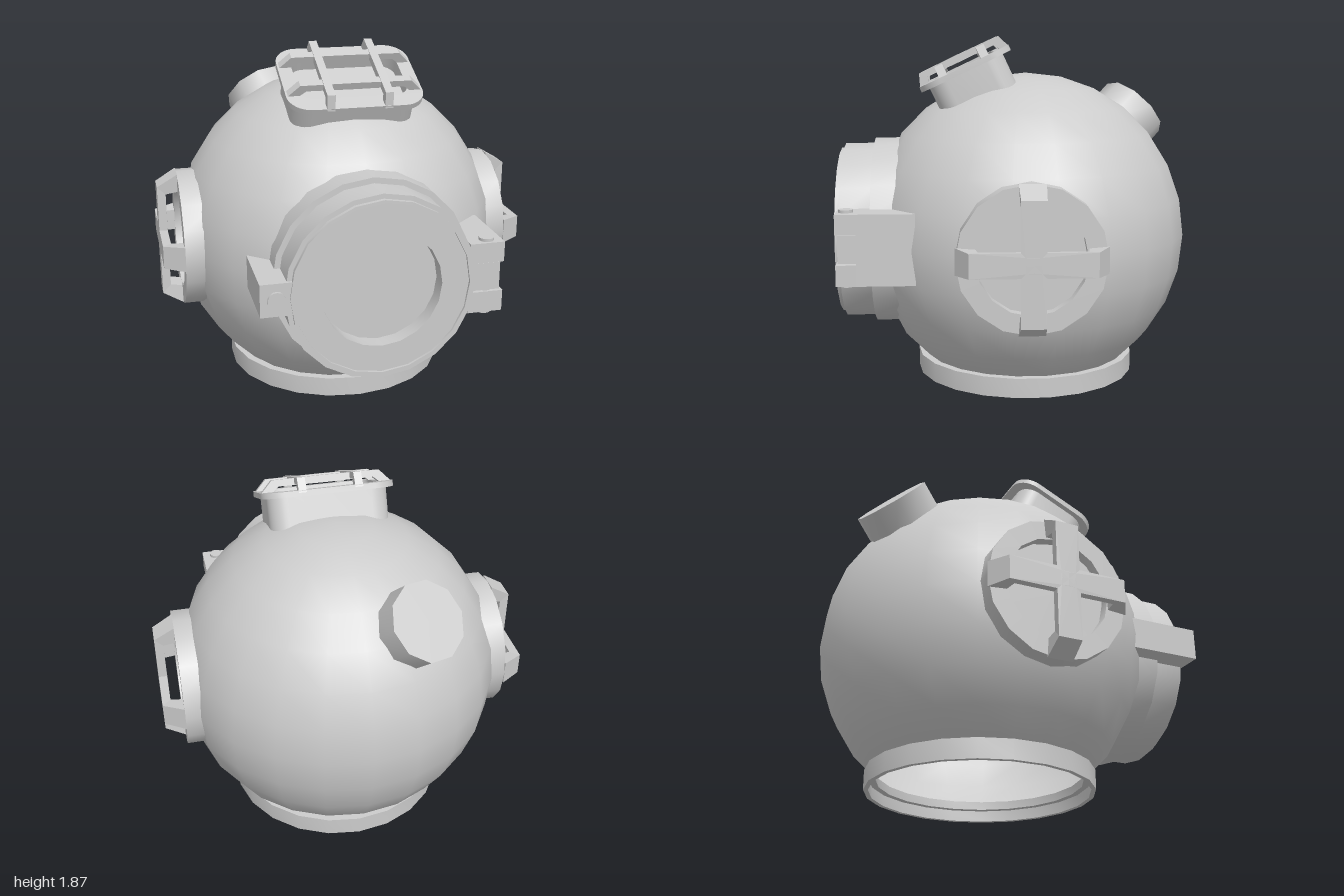
import * as THREE from 'three';
import { toCreasedNormals } from 'three/addons/utils/BufferGeometryUtils.js';

const material = new THREE.MeshStandardMaterial({ color: 0xcccccc, side: THREE.DoubleSide });

function add(parent, name, geometry, x = 0, y = 0, z = 0) {
  const mesh = new THREE.Mesh(geometry, material);
  mesh.name = name;
  mesh.position.set(x, y, z);
  parent.add(mesh);
  return mesh;
}

function addGroup(parent, name, x, y, z) {
  const group = new THREE.Group();
  group.name = name;
  group.position.set(x, y, z);
  parent.add(group);
  return group;
}

// Turned part around the y axis from [radius, height] pairs
function turned(profile, sides) {
  const points = profile.map(([r, h]) => new THREE.Vector2(r, h));
  return toCreasedNormals(new THREE.LatheGeometry(points, sides), 0.6);
}

// Box given by its minimum and maximum corners
function addBox(parent, name, [x0, y0, z0], [x1, y1, z1]) {
  return add(parent, name, new THREE.BoxGeometry(x1 - x0, y1 - y0, z1 - z0),
    (x0 + x1) / 2, (y0 + y1) / 2, (z0 + z1) / 2);
}

// Arched guard bar along x: sloped feet, flat top, optionally wider at its ends
function guardBar(foot, top, height, thick, footWidth, width, endWidth = width) {
  const s = new THREE.Shape();
  s.moveTo(-foot, 0);
  s.lineTo(-top, height);
  s.lineTo(0, height + 0.002);
  s.lineTo(top, height);
  s.lineTo(foot, 0);
  s.lineTo(foot - footWidth, 0);
  s.lineTo(top - thick, height - thick);
  s.lineTo(0, height - thick - 0.002);
  s.lineTo(thick - top, height - thick);
  s.lineTo(footWidth - foot, 0);
  s.closePath();
  const g = new THREE.ExtrudeGeometry(s, { depth: 1, bevelEnabled: false });
  g.translate(0, 0, -0.5);
  const p = g.attributes.position;
  for (let i = 0; i < p.count; i++) {
    const t = Math.abs(p.getX(i)) / foot;
    p.setZ(i, p.getZ(i) * THREE.MathUtils.lerp(width, endWidth, t));
  }
  g.computeVertexNormals();
  return g;
}

function roundedRect(target, hx, hy, r) {
  target.moveTo(hx, -hy + r);
  target.absarc(hx - r, hy - r, r, 0, Math.PI / 2);
  target.absarc(-hx + r, hy - r, r, Math.PI / 2, Math.PI);
  target.absarc(-hx + r, -hy + r, r, Math.PI, Math.PI * 1.5);
  target.absarc(hx - r, -hy + r, r, Math.PI * 1.5, Math.PI * 2);
  return target;
}

// Rounded frame (or plate when hole is null) lying in xz, from height y0 to y1
function roundedFrame(hx, hz, r, hole, y0, y1) {
  const s = roundedRect(new THREE.Shape(), hx, hz, r);
  if (hole) s.holes.push(roundedRect(new THREE.Path(), ...hole));
  const g = new THREE.ExtrudeGeometry(s, { depth: y1 - y0, bevelEnabled: false, curveSegments: 4 });
  g.rotateX(-Math.PI / 2);
  g.translate(0, y0, 0);
  return toCreasedNormals(g, 0.6);
}

export function createModel() {
  const model = new THREE.Group();
  model.name = 'divingHelmet';

  // Dome: open at the neck, pressed in behind the front and side windows
  const dome = new THREE.SphereGeometry(0.888, 22, 11, 0, Math.PI * 2, 0, 2.456);
  dome.rotateY(Math.PI / 2);
  const p = dome.attributes.position;
  for (let i = 0; i < p.count; i++) {
    p.setX(i, THREE.MathUtils.clamp(p.getX(i), -0.82, 0.82));
    p.setZ(i, Math.min(p.getZ(i), 0.75));
  }
  add(model, 'dome', dome, 0, 0.785, -0.075);

  // Neck ring with a small inner step
  add(model, 'neckRing', turned([[0.61, 0], [0.61, 0.105], [0.55, 0.105], [0.55, 0.06],
    [0.585, 0.06], [0.585, 0], [0.61, 0]], 22), 0, 0, -0.075);

  // Front window: stepped collar and recessed pane
  const front = addGroup(model, 'frontWindow', 0, 0.8, 0);
  front.rotation.x = Math.PI / 2;
  add(front, 'frontCollar', turned([[0.515, 0.52], [0.515, 0.76], [0.485, 0.76], [0.485, 0.925],
    [0.46, 0.925], [0.46, 0.948], [0.445, 0.948], [0.445, 0.935], [0.305, 0.935], [0.305, 0.85]], 20));
  add(front, 'frontPane', turned([[0.306, 0.85], [0, 0.85]], 20));

  // Hinge on the +x side of the front window
  const hinge = addGroup(model, 'hinge', 0, 0, 0);
  addBox(hinge, 'hingeBlock', [0.4, 0.615, 0.52], [0.63, 0.985, 0.82]);
  addBox(hinge, 'hingeUpperLug', [0.45, 0.88, 0.82], [0.63, 0.985, 0.925]);
  addBox(hinge, 'hingeLowerLug', [0.45, 0.615, 0.82], [0.63, 0.725, 0.925]);
  addBox(hinge, 'hingeKnuckle', [0.45, 0.73, 0.82], [0.615, 0.875, 0.915]);
  add(hinge, 'hingePin', toCreasedNormals(new THREE.CylinderGeometry(0.038, 0.038, 0.4, 12), 0.7),
    0.55, 0.8, 0.875);

  // Latch on the -x side of the front window
  const latch = addGroup(model, 'latch', 0, 0, 0);
  addBox(latch, 'latchBlock', [-0.605, 0.715, 0.52], [-0.44, 0.885, 0.94]);
  const bolt = add(latch, 'latchBolt',
    toCreasedNormals(new THREE.CylinderGeometry(0.045, 0.045, 0.1, 14), 0.7), -0.525, 0.8, 0.905);
  bolt.rotation.x = Math.PI / 2;

  // Side windows: ring, pane and crossed guard bars, built facing y and turned outwards
  for (const [name, side] of [['leftWindow', 1], ['rightWindow', -1]]) {
    const port = addGroup(model, name, 0, 0.795, -0.052);
    port.rotation.z = -side * Math.PI / 2;
    add(port, name + 'Ring', turned([[0.375, 0.7], [0.375, 0.89], [0.275, 0.89], [0.275, 0.8]], 16));
    add(port, name + 'Pane', turned([[0.28, 0.835], [0, 0.835]], 16));
    for (let i = 0; i < 2; i++) {
      const bar = add(port, name + 'Guard', guardBar(0.375, 0.31, 0.11, 0.045, 0.1, 0.072, 0.135), 0, 0.889, 0);
      bar.rotation.y = i * Math.PI / 2;
    }
  }

  // Top window: rounded box tilted forwards, with a barred guard
  const top = addGroup(model, 'topWindow', 0, 1.7, 0.262);
  top.rotation.x = 0.44;
  add(top, 'topFrame', roundedFrame(0.325, 0.215, 0.1, [0.285, 0.175, 0.08], -0.27, 0));
  add(top, 'topRim', roundedFrame(0.358, 0.262, 0.12, [0.285, 0.175, 0.08], -0.015, 0.015));
  add(top, 'topPane', roundedFrame(0.3, 0.19, 0.08, null, -0.08, -0.06));
  for (const s of [-1, 1]) {
    add(top, 'topGuardAcross', guardBar(0.355, 0.29, 0.068, 0.035, 0.06, 0.045), 0, 0.008, s * 0.12);
    const bar = add(top, 'topGuardAlong', guardBar(0.265, 0.235, 0.077, 0.035, 0.05, 0.042), s * 0.15, 0.003, 0);
    bar.rotation.y = Math.PI / 2;
  }

  // Round valve at the upper back
  const direction = new THREE.Vector3(-0.31, 0.675, -0.665).normalize();
  const valve = add(model, 'backValve',
    toCreasedNormals(new THREE.CylinderGeometry(0.208, 0.208, 0.22, 10), 0.7));
  valve.quaternion.setFromUnitVectors(new THREE.Vector3(0, 1, 0), direction);
  valve.position.set(0, 0.785, -0.075).addScaledVector(direction, 0.885);

  return model;
}
